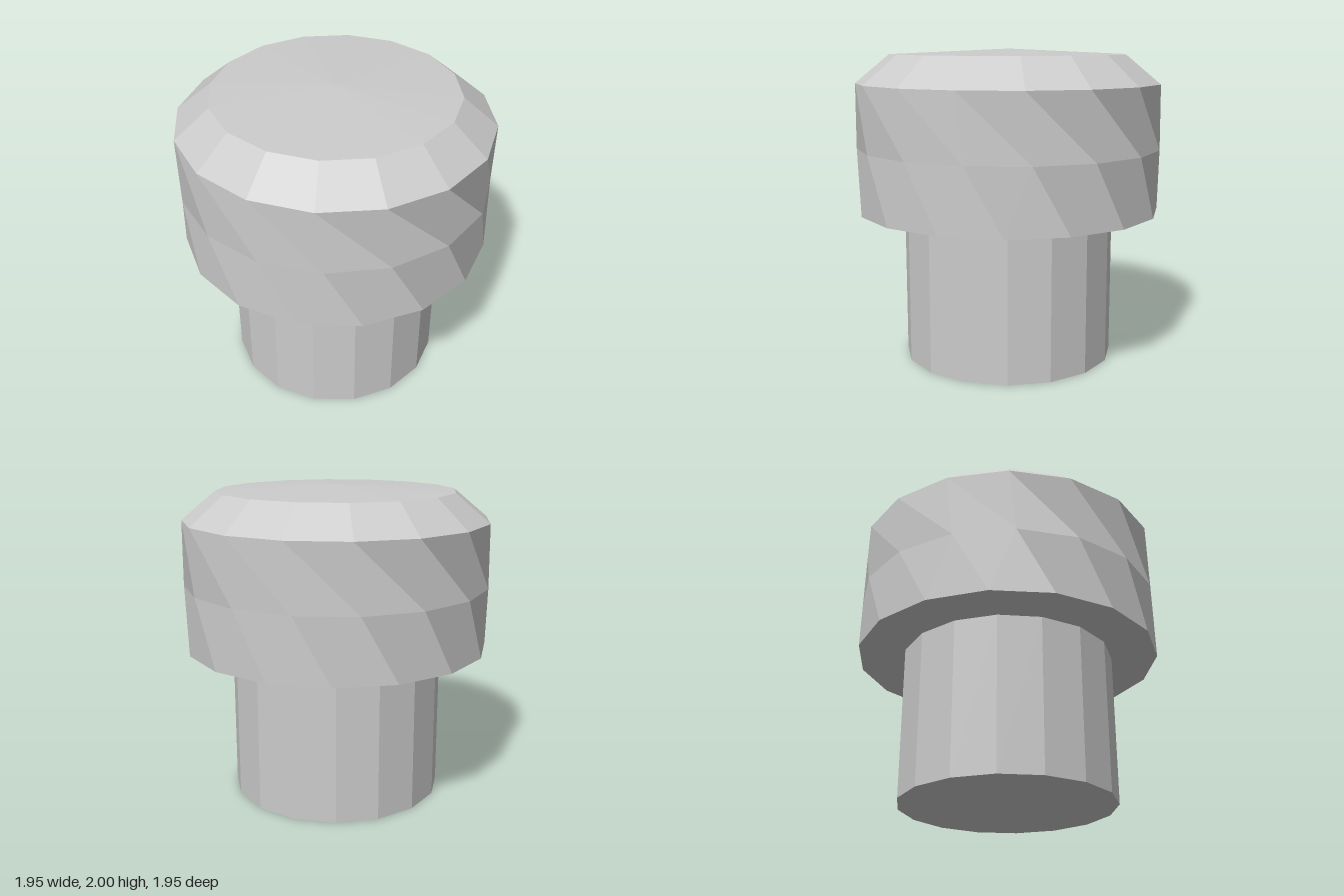
import * as THREE from 'three';

const SIDES = 16;

// Rings of the cap: radius, height, twist in degrees from the front
const RINGS = [
  [0, 2.0, 5.5],
  [0.76, 1.965, 5.5],
  [0.977, 1.785, 5.6],
  [0.977, 1.375, 5.6 + 25],
  [0.977, 0.97, 5.6 + 38.2],
  [0, 0.97, 5.6 + 38.2],
];

function ringPoint([radius, y, twist], i) {
  const a = THREE.MathUtils.degToRad(twist) + (i * Math.PI * 2) / SIDES;
  return new THREE.Vector3(radius * Math.sin(a), y, radius * Math.cos(a));
}

// Twisted bands of quads; both halves of a quad share one flat normal
function twistedCapGeometry() {
  const positions = [];
  const normals = [];
  for (let r = 0; r < RINGS.length - 1; r++) {
    for (let i = 0; i < SIDES; i++) {
      const a = ringPoint(RINGS[r], i);
      const b = ringPoint(RINGS[r], i + 1);
      const c = ringPoint(RINGS[r + 1], i);
      const d = ringPoint(RINGS[r + 1], i + 1);
      const n = d.clone().sub(a).cross(b.clone().sub(c)).normalize();
      const corners = [];
      if (RINGS[r][0] > 0) corners.push(a, c, b);
      if (RINGS[r + 1][0] > 0) corners.push(b, c, d);
      for (const p of corners) {
        positions.push(p.x, p.y, p.z);
        normals.push(n.x, n.y, n.z);
      }
    }
  }
  const geometry = new THREE.BufferGeometry();
  geometry.setAttribute('position', new THREE.Float32BufferAttribute(positions, 3));
  geometry.setAttribute('normal', new THREE.Float32BufferAttribute(normals, 3));
  return geometry;
}

export function createModel() {
  const group = new THREE.Group();
  group.name = 'knob';

  // Twisted, chamfered cap with a shallow domed top
  const cap = new THREE.Mesh(
    twistedCapGeometry(),
    new THREE.MeshStandardMaterial({ color: 0xcccccc })
  );
  cap.name = 'twistedCap';
  group.add(cap);

  // Straight stem
  const stem = new THREE.Mesh(
    new THREE.CylinderGeometry(0.683, 0.683, 0.97, SIDES),
    new THREE.MeshStandardMaterial({ color: 0xcccccc, flatShading: true })
  );
  stem.name = 'stem';
  stem.position.y = 0.485;
  group.add(stem);

  return group;
}
